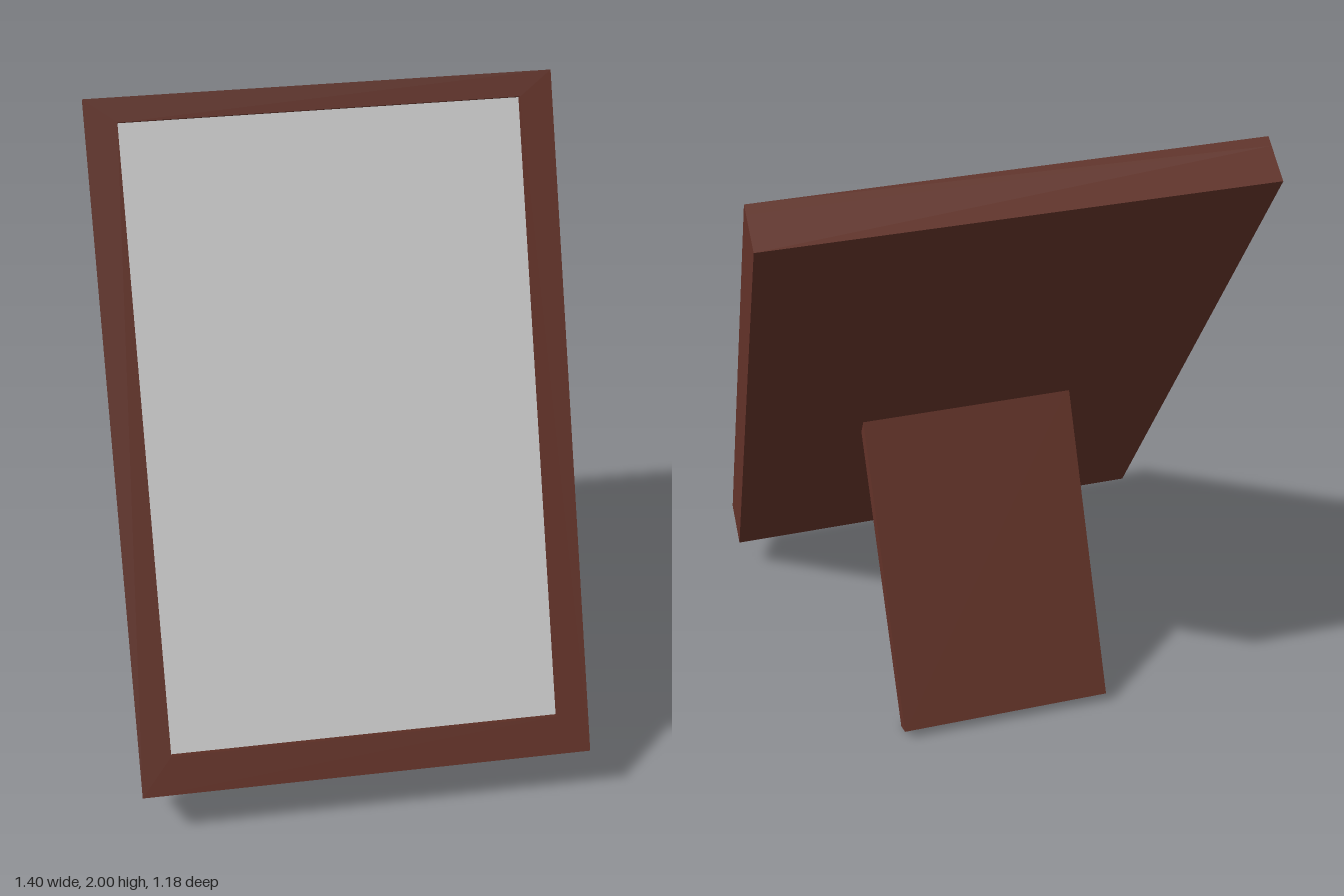
import * as THREE from 'three';

const WIDTH = 1.405, HEIGHT = 2.113, DEPTH = 0.14, RECESS = 0.03;
const OPEN_W = 1.21, OPEN_H = 1.918, OPEN_Y = 0.0235; // opening sits slightly high
const TILT = Math.PI / 6;

function rectangle(PathType, w, h, y = 0) {
  const path = new PathType();
  path.moveTo(-w / 2, y - h / 2);
  path.lineTo(w / 2, y - h / 2);
  path.lineTo(w / 2, y + h / 2);
  path.lineTo(-w / 2, y + h / 2);
  path.closePath();
  return path;
}

export function createModel() {
  const model = new THREE.Group();
  model.name = 'pictureFrame';
  const wood = new THREE.MeshStandardMaterial({ color: 0x623228 });
  const grey = new THREE.MeshStandardMaterial({ color: 0xcccccc });

  function add(parent, name, geometry, material, x, y, z) {
    const mesh = new THREE.Mesh(geometry, material);
    mesh.name = name;
    mesh.position.set(x, y, z);
    parent.add(mesh);
    return mesh;
  }

  // Leaning frame, assembled upright and then tilted back
  const frame = new THREE.Group();
  frame.name = 'frame';
  frame.position.y = 1.05;
  frame.rotation.x = -TILT;
  model.add(frame);

  // Raised border around the picture
  const floor = DEPTH / 2 - RECESS;
  const border = rectangle(THREE.Shape, WIDTH, HEIGHT);
  border.holes.push(rectangle(THREE.Path, OPEN_W, OPEN_H, OPEN_Y));
  add(frame, 'border', new THREE.ExtrudeGeometry(border, { depth: RECESS, bevelEnabled: false }), wood, 0, 0, floor);

  // Solid backing board
  const backDepth = DEPTH - RECESS;
  add(frame, 'backBoard', new THREE.BoxGeometry(WIDTH, HEIGHT, backDepth), wood, 0, 0, floor - backDepth / 2);

  // Picture panel at the bottom of the recess
  add(frame, 'picture', new THREE.PlaneGeometry(OPEN_W, OPEN_H), grey, 0, OPEN_Y, floor + 0.002);

  // Rear strut, its top end sunk into the backing board
  const strut = add(model, 'strut', new THREE.BoxGeometry(0.665, 1.01, 0.065), wood, 0, 0.4535, -0.206);
  strut.rotation.x = TILT;

  return model;
}
